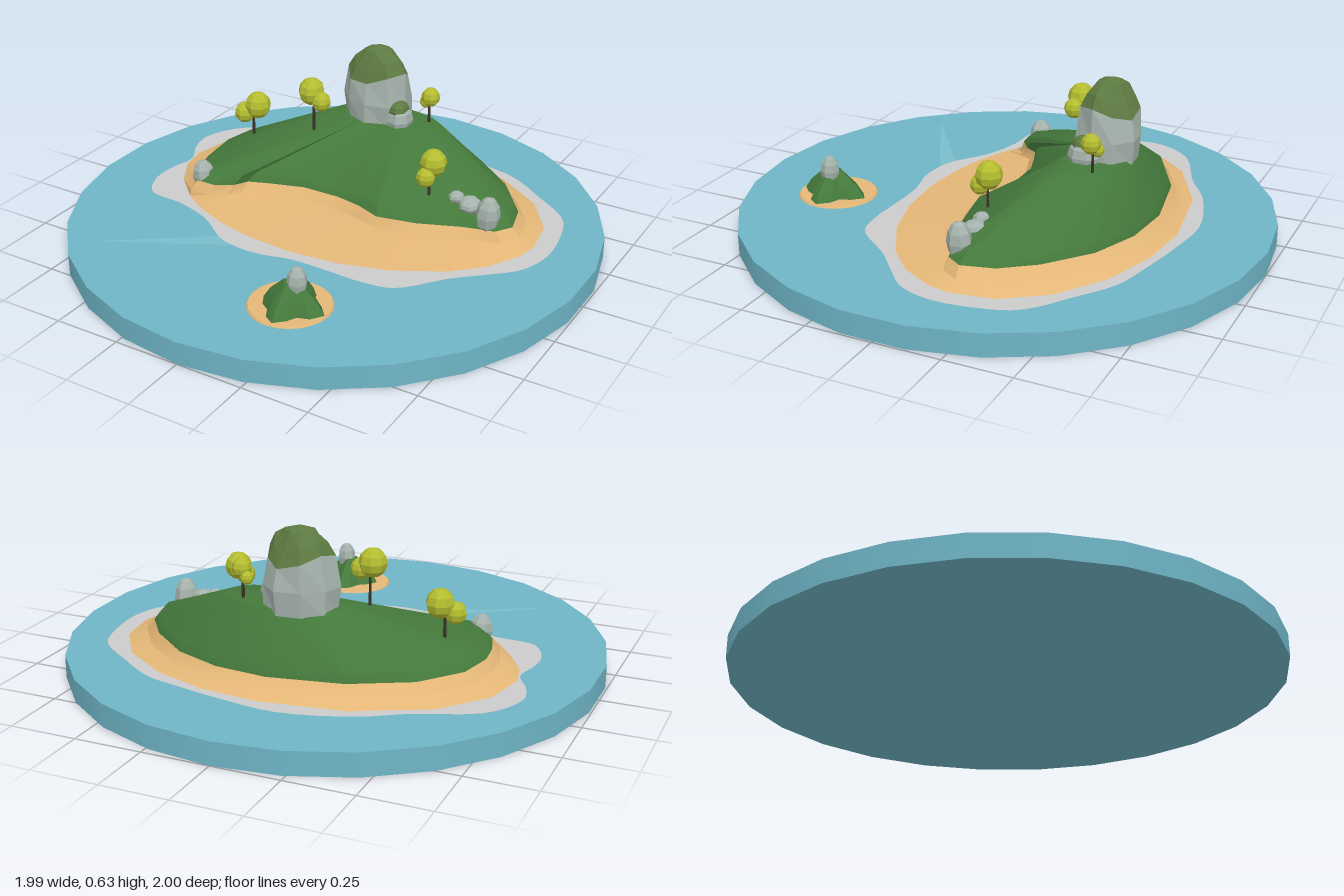
import * as THREE from 'three';
import { toCreasedNormals } from 'three/addons/utils/BufferGeometryUtils.js';

const mat = (color, flatShading = false) => new THREE.MeshStandardMaterial({ color, flatShading });
const WATER = mat(0x6fb5c6), FOAM = mat(0xcccccc), SAND = mat(0xe4b777), GRASS = mat(0x457a3c);
const STONE = mat(0xa6b3ad, true), MOSS = mat(0x5d7a42, true), LEAF = mat(0xb4bd30, true), BARK = mat(0x3a3226);
WATER.side = FOAM.side = THREE.DoubleSide;

// Each row: hill outline x, z, angle of the matching shore point, plateau x, z
const RIM = [
  [-.63, -.15, 178, -.19, -.36], [-.6, -.29, 198, -.18, -.4], [-.48, -.44, 220, -.15, -.44],
  [-.27, -.55, 245, -.08, -.47], [0, -.6, 270, .02, -.48], [.2, -.58, 287, .1, -.47],
  [.38, -.51, 305, .17, -.45], [.54, -.38, 325, .23, -.41], [.63, -.26, 345, .25, -.36],
  [.66, -.14, 363, .25, -.32], [.62, -.08, 373, .24, -.29], [.5, -.05, 388, .2, -.27],
  [.35, .01, 402, .16, -.265], [.2, .04, 420, .12, -.26], [.1, 0, 435, .08, -.26],
  [0, -.02, 450, .03, -.265], [-.15, -.02, 464, -.02, -.27], [-.28, .02, 476, -.05, -.27],
  [-.36, .05, 484, -.06, -.27], [-.39, .1, 489, -.07, -.275], [-.45, .14, 493, -.08, -.28],
  [-.53, .14, 498, -.11, -.29], [-.59, .05, 512, -.15, -.31], [-.62, -.05, 526, -.18, -.33],
];

// Surface through closed rings from low to high, with an optional centre point closing the top
function loft(rings, top) {
  const n = rings[0].length, pos = [], idx = [];
  rings.forEach(r => r.forEach(p => pos.push(...p.toArray())));
  for (let k = 0; k < rings.length; k++) {
    for (let i = 0; i < n; i++) {
      const a = k * n + i, b = k * n + (i + 1) % n;
      if (k < rings.length - 1) idx.push(a, a + n, b, b, a + n, b + n);
      else if (top) idx.push(a, rings.length * n, b);
    }
  }
  if (top) pos.push(...top);
  const g = new THREE.BufferGeometry();
  g.setAttribute('position', new THREE.Float32BufferAttribute(pos, 3));
  g.setIndex(idx);
  return toCreasedNormals(g, 0.5);
}

// Flat patch lying on the water, from x, z points
function patch(points, y, smooth) {
  const shape = new THREE.Shape();
  const v = points.map(([x, z]) => new THREE.Vector2(x, -z));
  if (smooth) {
    const c = new THREE.CatmullRomCurve3(v.map(p => new THREE.Vector3(p.x, p.y, 0)), true);
    shape.setFromPoints(c.getPoints(100).slice(0, -1).map(p => new THREE.Vector2(p.x, p.y)));
  } else shape.setFromPoints(v);
  return new THREE.ShapeGeometry(shape).rotateX(-Math.PI / 2).translate(0, y, 0);
}

export function createModel() {
  const model = new THREE.Group();
  const add = (name, geo, material, parent = model) => {
    const m = new THREE.Mesh(geo, material);
    m.name = name;
    parent.add(m);
    return m;
  };
  const blob = (name, material, [x, y, z], [rx, ry, rz], parent, segments = 8) => {
    const m = add(name, new THREE.SphereGeometry(1, segments, 6), material, parent);
    m.position.set(x, y, z);
    m.scale.set(rx, ry, rz);
    return m;
  };

  // Sea, foam around the shore and a thin wake
  add('sea', new THREE.CylinderGeometry(1, 1, .085, 26).translate(0, .0425, 0), WATER);
  add('foam', patch([
    [-.81, -.3], [-.73, -.45], [-.5, -.56], [-.35, -.65], [-.1, -.72], [.1, -.7], [.3, -.66], [.45, -.62],
    [.6, -.52], [.75, -.4], [.8, -.25], [.81, -.1], [.77, .02], [.68, .11], [.58, .2], [.45, .35], [.35, .375],
    [.05, .37], [-.1, .4], [-.25, .38], [-.4, .28], [-.55, .23], [-.7, .21], [-.76, .1], [-.76, 0],
    [-.74, -.1], [-.79, -.2]], .0875, true), FOAM);
  const wakeMat = mat(0x7cbccb);
  wakeMat.side = THREE.DoubleSide;
  add('wake', patch([[-.65, .63], [-.27, .36], [-.19, .39]], .087), wakeMat);

  // Sand: shore, foot of the bank, edge of the grass
  const V = (x, y, z) => new THREE.Vector3(x, y, z);
  const shore = RIM.map(([, , t]) => {
    const a = THREE.MathUtils.degToRad(t);
    return V(.745 * Math.cos(a), .089, -.17 + .5 * Math.sin(a));
  });
  const edge = RIM.map(([x, z]) => V(x, .15, z));
  const foot = edge.map((p, i) => {
    const d = shore[i].clone().sub(p).setY(0).normalize();
    return p.clone().addScaledVector(d, .03).setY(.113);
  });
  add('beach', loft([shore, foot, edge]), SAND);

  // Crescent hill rising to a flat top
  const plateau = RIM.map(([, , , x, z]) => V(x, .347, z));
  const shoulder = edge.map((p, i) => p.clone().lerp(plateau[i], .07).setY(.183));
  add('hill', loft([edge, shoulder, plateau], [.03, .35, -.37]), GRASS);

  // Summit rock with a mossy cap; both share the same uneven shaping
  const summit = new THREE.Group();
  summit.name = 'summitRock';
  model.add(summit);
  const rockPart = profile => {
    const g = new THREE.LatheGeometry(profile.map(([r, y]) => new THREE.Vector2(r, y)), 9);
    const p = g.attributes.position;
    for (let i = 0; i < p.count; i++) {
      const x = p.getX(i), y = p.getY(i), z = p.getZ(i), a = Math.atan2(z, x);
      const s = 1 + .06 * Math.sin(3 * a + y * 12);
      const lift = y > .45 && y < .6 ? .025 * Math.sin(2 * a + .8) : 0;
      p.setXYZ(i, x * s - .035, y + lift, z * s * .84 - .388);
    }
    return g;
  };
  add('stone', rockPart([[.13, .33], [.137, .42], [.122, .52]]), STONE, summit);
  add('mossCap', rockPart([[.122, .52], [.098, .565], [.055, .613], [0, .63]]), MOSS, summit);
  blob('sideStone', STONE, [.085, .365, -.34], [.05, .06, .06], summit, 7);
  blob('sideMoss', MOSS, [.08, .405, -.34], [.04, .035, .05], summit, 7);

  // Boulders on the two arms of the bay
  [
    [[-.53, .16, .1], [.044, .06, .045]],
    [[.58, .195, -.1], [.046, .075, .045]],
    [[.5, .213, -.113], [.045, .028, .042]],
    [[.445, .228, -.115], [.03, .022, .03]],
  ].forEach(([p, r], i) => {
    blob('boulder', STONE, p, r, model, 7).rotation.set(.1, i, i % 2 ? -.1 : .08);
  });

  // Trees: trunk foot, then two leafy crowns as x, y, z, radius
  [
    [[-.49, .22, -.19], [-.475, .35, -.2, .052], [-.525, .315, -.18, .04]],
    [[-.215, .28, -.2], [-.225, .465, -.2, .052], [-.175, .435, -.19, .037]],
    [[.175, .34, -.41], [.182, .455, -.405, .036], [.155, .425, -.42, .024]],
    [[.345, .2, -.09], [.355, .35, -.1, .05], [.345, .305, -.06, .036]],
  ].forEach(([f, ...crowns], i) => {
    const tree = new THREE.Group();
    tree.name = 'tree';
    model.add(tree);
    const h = crowns[0][1] - f[1];
    add('trunk', new THREE.CylinderGeometry(.004, .006, h, 6), BARK, tree).position.set(f[0], f[1] + h / 2, f[2]);
    crowns.forEach(([x, y, z, r]) => {
      blob('crown', LEAF, [x, y, z], [r, r * 1.04, r], tree).rotation.y = i;
    });
  });

  // Islet with a ridged mound and a standing stone
  const islet = new THREE.Group();
  islet.name = 'islet';
  model.add(islet);
  add('isletSand', new THREE.CylinderGeometry(.145, .15, .008, 24).translate(.195, .088, .62), SAND, islet);
  const ring = (r, wave, y) => Array.from({ length: 16 }, (_, i) => {
    const a = i * Math.PI / 8;
    const d = r + wave * Math.cos(4 * a) + wave * .3 * Math.sin(3 * a + 1);
    return V(.21 + d * Math.cos(a), y, .63 + d * Math.sin(a) * 1.08);
  });
  add('mound', loft([ring(.1, .022, .09), ring(.075, .016, .135), ring(.03, .005, .185)], [.215, .192, .63]), GRASS, islet);
  blob('isletStone', STONE, [.23, .19, .63], [.036, .058, .036], islet, 7).rotation.y = .4;

  return model;
}
